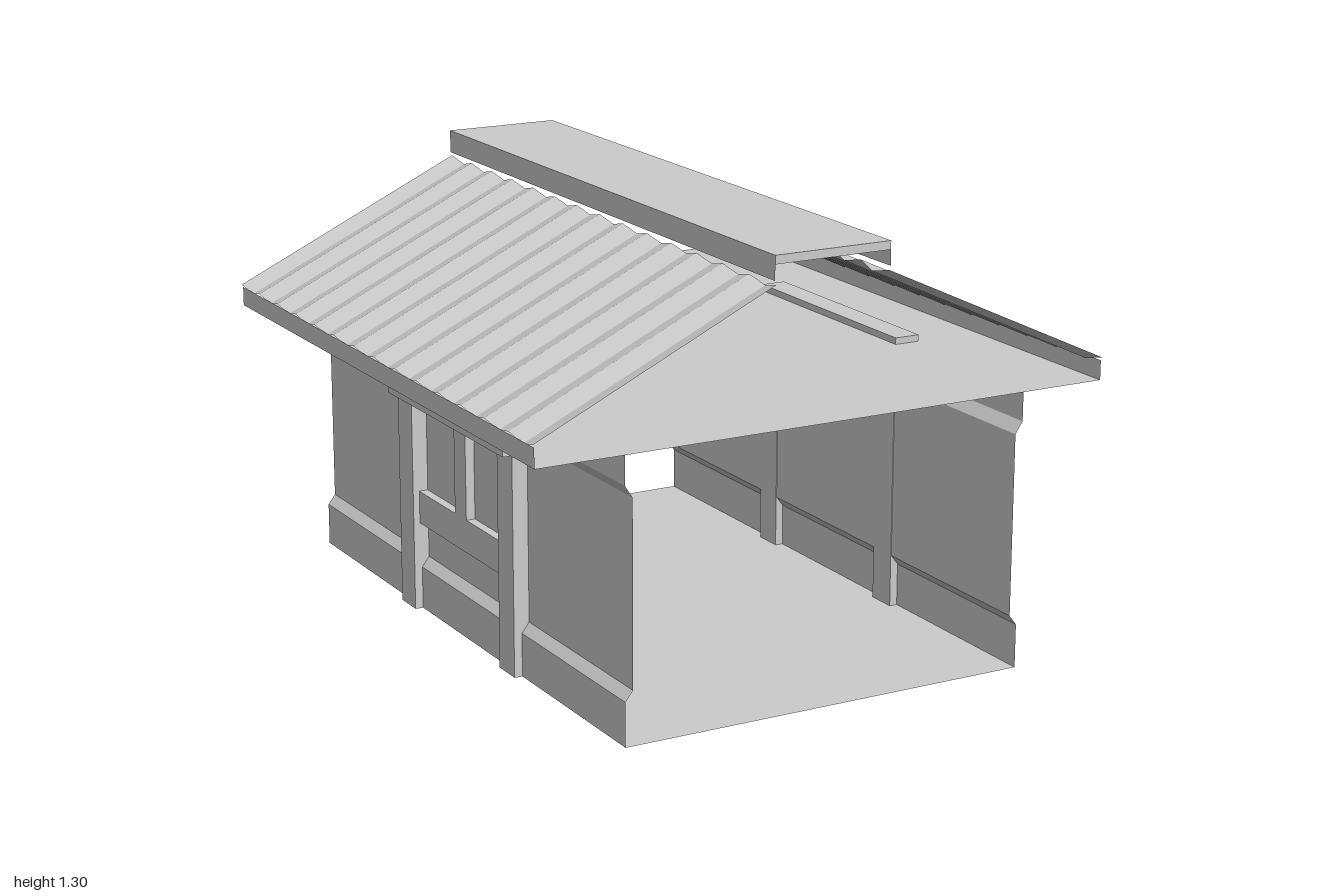
import * as THREE from 'three';

const material = new THREE.MeshStandardMaterial({
  color: 0xcccccc, flatShading: true, side: THREE.DoubleSide,
});

// Thin surface joining two rows of points of equal length
function sheet(name, rowA, rowB) {
  const pos = [];
  for (let i = 0; i < rowA.length - 1; i++) {
    const a = rowA[i], b = rowA[i + 1], c = rowB[i + 1], d = rowB[i];
    pos.push(...a, ...b, ...c, ...a, ...c, ...d);
  }
  const geo = new THREE.BufferGeometry();
  geo.setAttribute('position', new THREE.Float32BufferAttribute(pos, 3));
  geo.computeVertexNormals();
  const mesh = new THREE.Mesh(geo, material);
  mesh.name = name;
  return mesh;
}

// Profile of [x, y] points swept along the length of the house
function sweep(name, profile) {
  return sheet(name, profile.map(([x, y]) => [x, y, 1]), profile.map(([x, y]) => [x, y, -1]));
}

// Box given by its limits on each axis
function block(name, x0, x1, y0, y1, z0, z1) {
  const mesh = new THREE.Mesh(new THREE.BoxGeometry(x1 - x0, y1 - y0, z1 - z0), material);
  mesh.position.set((x0 + x1) / 2, (y0 + y1) / 2, (z0 + z1) / 2);
  mesh.name = name;
  return mesh;
}

// Zigzag roof sheet sloping from the ridge down to the eave
function corrugatedRoof() {
  const folds = 28, top = [], bottom = [];
  for (let i = 0; i <= folds; i++) {
    const z = 1 - (2 * i) / folds;
    const lift = i % 2 === 0 ? 0.009 : -0.009;
    const ox = lift * 0.42, oy = lift * 0.91;
    top.push([0.173 + ox, 1.216 + oy, z]);
    bottom.push([0.9 + ox, 0.878 + oy, z]);
  }
  return sheet('roofSheet', bottom, top);
}

// One side of the house: wall, window surround and roof slope
function createSide() {
  const side = new THREE.Group();
  side.add(sweep('wall', [
    [0.635, 0], [0.635, 0.13], [0.612, 0.16], [0.612, 0.7], [0.635, 0.735], [0.635, 0.82],
  ]));

  const win = new THREE.Group();
  win.name = 'window';
  win.add(block('lintel', 0.61, 0.69, 0.66, 0.84, -0.385, 0.385));
  for (const s of [-1, 1]) {
    const z = s * 0.335;
    win.add(block('jamb', 0.61, 0.66, 0, 0.66, z - 0.048, z + 0.048));
  }
  win.add(block('sill', 0.612, 0.64, 0.27, 0.37, -0.287, 0.287));
  win.add(block('mullion', 0.612, 0.64, 0.37, 0.66, -0.038, 0.038));
  side.add(win);

  side.add(sweep('fascia', [[0.9, 0.82], [0.9, 0.878]]));
  side.add(corrugatedRoof());
  return side;
}

export function createModel() {
  const house = new THREE.Group();
  house.name = 'house';

  // Floor and ceiling planes, open at both ends
  house.add(sweep('floor', [[-0.635, 0], [0.635, 0]]));
  house.add(sweep('ceiling', [[-0.9, 0.82], [0.9, 0.82]]));

  // Mirrored halves
  const left = createSide();
  left.name = 'leftSide';
  const right = createSide();
  right.name = 'rightSide';
  right.scale.x = -1;
  house.add(left, right);

  // Ridge cap with side skirts and narrow end strips
  const cap = new THREE.Group();
  cap.name = 'ridgeCap';
  cap.add(sweep('capShell', [[0.182, 1.235], [0.182, 1.305], [-0.182, 1.305], [-0.182, 1.235]]));
  for (const z of [1, -1]) {
    cap.add(sheet('capEnd',
      [[-0.182 * z, 1.28, z], [0.182 * z, 1.28, z]],
      [[-0.182 * z, 1.305, z], [0.182 * z, 1.305, z]]));
  }
  house.add(cap);
  return house;
}
